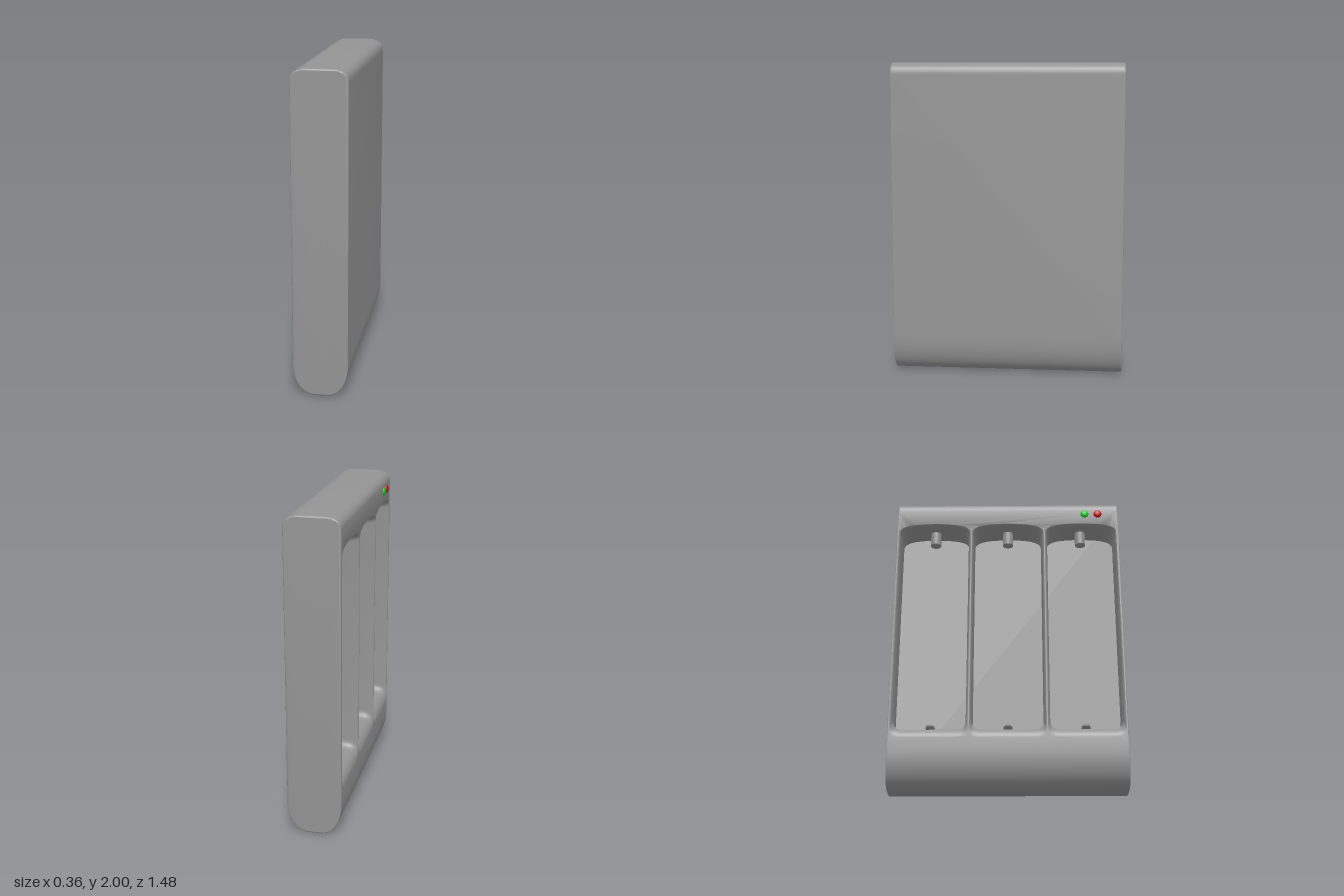
import * as THREE from 'three';
import { toCreasedNormals } from 'three/addons/utils/BufferGeometryUtils.js';

const FRONT = -0.165, BACK = 0.177, FLOOR = 0.03;   // open face, closed face, slot bed (x)
const MID = (FRONT + BACK) / 2, HALF = (BACK - FRONT) / 2;
const SLOTS = [-0.487, 0, 0.487];
const paint = color => new THREE.MeshStandardMaterial({ color });

// Squarish elliptical edge: 0 inside, rising to b at the side over a width a
function edge(x, a, b) {
  const s = THREE.MathUtils.clamp((Math.abs(x - MID) - (HALF - a)) / a, 0, 1);
  return b * (1 - Math.pow(1 - Math.pow(s, 2.5), 0.4));
}

// Outline drawn in (z, y)
function outline() {
  const s = new THREE.Shape(), w = 0.74, r = 0.012;
  s.moveTo(-w + r, 0).lineTo(w - r, 0).quadraticCurveTo(w, 0, w, r);
  s.lineTo(w, 2 - r).quadraticCurveTo(w, 2, w - r, 2);
  s.lineTo(-w + r, 2).quadraticCurveTo(-w, 2, -w, 2 - r);
  s.lineTo(-w, r).quadraticCurveTo(-w, 0, -w + r, 0);
  return s;
}

// Battery slot with rounded floor corners and a shallow arched top
function slotPath(c) {
  const p = new THREE.Path(), w = 0.224, b = 0.38, r = 0.06;
  p.moveTo(c - w, b + r).lineTo(c - w, 1.74);
  p.bezierCurveTo(c - w, 1.79, c - w * 0.7, 1.81, c, 1.81);
  p.bezierCurveTo(c + w * 0.7, 1.81, c + w, 1.79, c + w, 1.74);
  p.lineTo(c + w, b + r).quadraticCurveTo(c + w, b, c + w - r, b);
  p.lineTo(c - w + r, b).quadraticCurveTo(c - w, b, c - w, b + r);
  return p;
}

// Extrudes a shape across the thickness, then rounds its outer edges and slot lips
function slab(shape, xAt) {
  const g = new THREE.ExtrudeGeometry(shape, { depth: 1, steps: 24, bevelEnabled: false, curveSegments: 10 });
  const p = g.attributes.position;
  for (let i = 0; i < p.count; i++) {
    let z = p.getX(i), y = p.getY(i);
    const x = xAt(p.getZ(i));
    if (Math.abs(z) < 0.715 && y > 0.3 && y < 1.85) {
      const s = THREE.MathUtils.clamp((FRONT + 0.08 - x) / 0.08, 0, 1);
      const f = 1 - Math.sqrt(1 - s * s);
      const c = SLOTS.reduce((a, b) => Math.abs(b - z) < Math.abs(a - z) ? b : a);
      z += f * 0.018 * (z - c) / 0.224;
      y += f * (y < 1 ? -0.075 * (1 - (y - 0.38) / 0.62) : 0.015 * (y - 1) / 0.81);
    } else {
      const low = edge(x, 0.15, 0.25), high = 2 - edge(x, 0.11, 0.075);
      y = low + (high - low) * y / 2;
      z -= Math.sign(z) * edge(x, 0.015, 0.006);
    }
    p.setXYZ(i, x, y, z);
  }
  return toCreasedNormals(g, 0.65);
}

export function createModel() {
  const model = new THREE.Group();
  const grey = paint(0x949494);
  const add = (name, geo, mat, x, y, z) => {
    const m = new THREE.Mesh(geo, mat);
    m.name = name;
    m.position.set(x, y, z);
    model.add(m);
    return m;
  };

  // Housing: closed rear shell and slotted frame
  add('rearShell', slab(outline(), t => BACK + (FLOOR - BACK) * (1 - Math.cos(t * Math.PI / 2))), grey, 0, 0, 0);
  const framed = outline();
  framed.holes = SLOTS.map(slotPath);
  add('slotFrame', slab(framed, t => FLOOR + (FRONT - FLOOR) * Math.sin(t * Math.PI / 2)), grey, 0, 0, 0);

  // Contacts at both ends of each slot
  const spring = new THREE.CylinderGeometry(0.07, 0.07, 0.01, 24);
  spring.scale(1, 1, 0.4);
  const stud = new THREE.CylinderGeometry(0.035, 0.035, 0.1, 24);
  for (const z of SLOTS) {
    add('springContact', spring, grey, -0.03, 0.415, z).rotation.z = 0.1;
    add('studContact', stud, grey, -0.05, 1.77, z);
  }

  // Indicator lamps
  const lamp = new THREE.SphereGeometry(0.027, 24, 16);
  lamp.scale(0.5, 1, 1);
  add('redLamp', lamp, paint(0xcc1111), FRONT, 1.897, 0.603);
  add('greenLamp', lamp, paint(0x11cc22), FRONT, 1.897, 0.515);
  return model;
}
